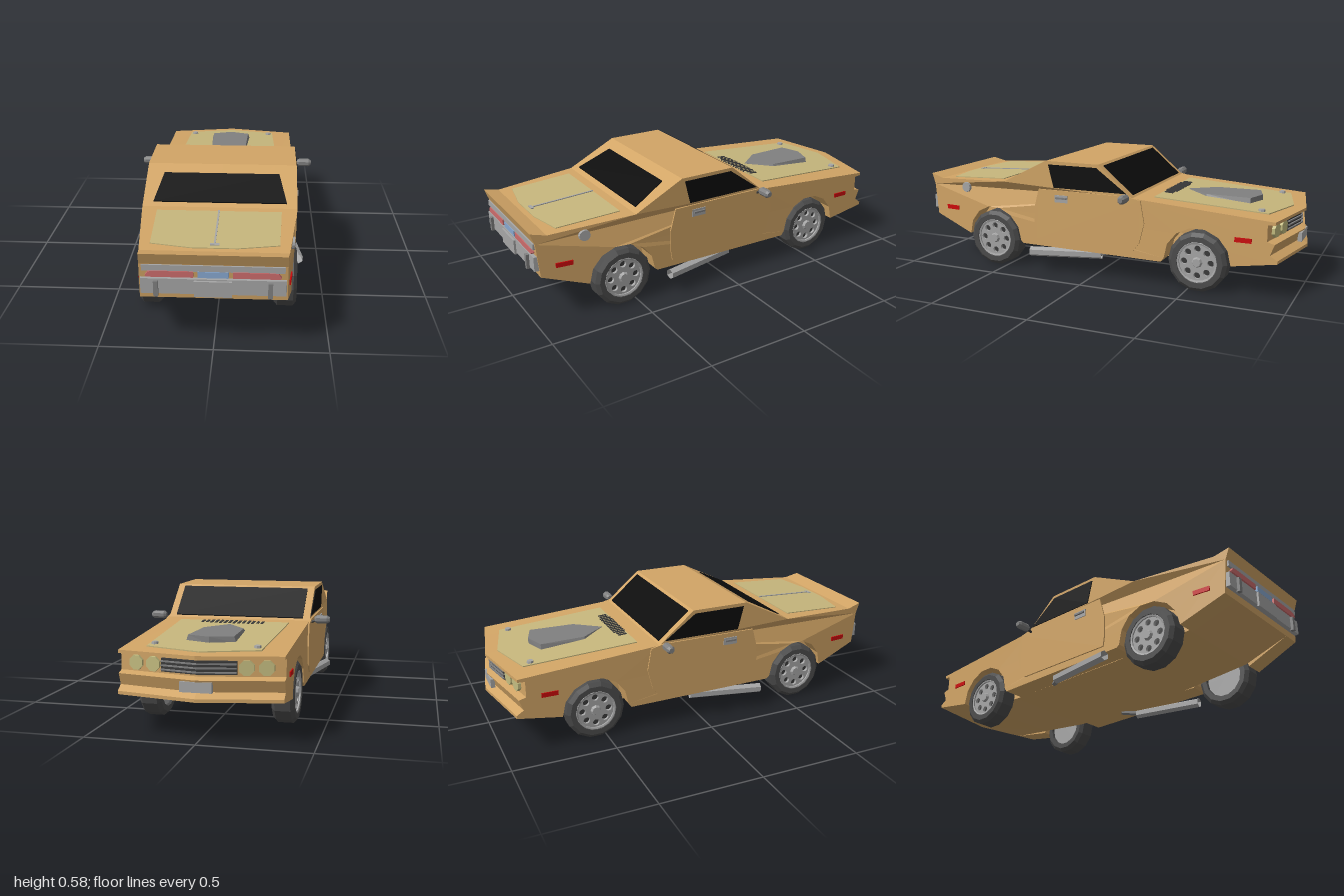
import * as THREE from 'three';

const mat = (color) => new THREE.MeshStandardMaterial({ color, flatShading: true, side: THREE.DoubleSide });
const PAINT = mat(0xd2a566), KHAKI = mat(0xc6b67c), GLASS = mat(0x0c0c0c), GREY = mat(0xa6a6a6);
const STEEL = mat(0x808080), DARK = mat(0x3a3a3a), TYRE = mat(0x4c4c4c), RED = mat(0xcc0a0a);
const TAIL = mat(0xcc6c6c), BLUE = mat(0x88a8d0), LAMP = mat(0xc4bd80);
const W = 0.365; // half width of the body

// Upper outline of the car as [z, y], nose to tail
const TOP = [[-0.985, 0.378], [-0.22, 0.428], [-0.04, 0.58], [0.25, 0.58], [0.5, 0.455], [0.92, 0.435], [0.995, 0.455]];
const topY = (z) => {
  let i = 0;
  while (i < TOP.length - 2 && z > TOP[i + 1][0]) i++;
  const [[z0, y0], [z1, y1]] = [TOP[i], TOP[i + 1]];
  return y0 + (y1 - y0) * (z - z0) / (z1 - z0);
};

function moveVertices(geo, rule) {
  const p = geo.attributes.position, v = new THREE.Vector3();
  for (let i = 0; i < p.count; i++) {
    rule(v.fromBufferAttribute(p, i));
    p.setXYZ(i, v.x, v.y, v.z);
  }
  geo.computeVertexNormals();
  return geo;
}

// Pointed nose and narrowing tail
const warp = (geo) => moveVertices(geo, (v) => {
  if (v.z < -0.9) v.z += 0.07 * Math.abs(v.x) / W;
  if (v.z > 0.5) v.x *= 1 - 0.15 * (v.z - 0.5) / 0.49;
});

export function createModel() {
  const car = new THREE.Group();
  car.name = 'car';
  const add = (name, geo, material, parent = car) => {
    const mesh = new THREE.Mesh(geo, material);
    mesh.name = name;
    parent.add(mesh);
    return mesh;
  };
  const shapeOf = (pts) => new THREE.Shape(pts.map(([x, y]) => new THREE.Vector2(x, y)));
  const box = (w, h, d, x, y, z, seg = 1) => new THREE.BoxGeometry(w, h, d, seg, 1, 1).translate(x, y, z);

  // Side outline [z, y] extruded across the car from x0 to x1
  const slab = (pts, x0, x1, steps = 1) => warp(new THREE.ExtrudeGeometry(shapeOf(pts.map(([z, y]) => [-z, y])),
    { depth: x1 - x0, steps, bevelEnabled: false }).rotateY(Math.PI / 2).translate(x0, 0, 0));
  const bothSides = (name, pts, x0, x1, material) => {
    add(name + 'Left', slab(pts, x0, x1), material);
    add(name + 'Right', slab(pts, -x1, -x0), material);
  };
  // Plan outline [x, z] laid on the upper surface
  const drape = (name, pts, h, material) => add(name, moveVertices(
    new THREE.ExtrudeGeometry(shapeOf(pts.map(([x, z]) => [x, -z])), { depth: h, bevelEnabled: false }).rotateX(-Math.PI / 2),
    (v) => { v.y += topY(v.z); }), material);
  const mirrored = (half) => [...half, ...half.filter(([x]) => x > 0).reverse().map(([x, z]) => [-x, z])];
  const rect = (z0, z1, y0, y1) => [[z0, y0], [z1, y0], [z1, y1], [z0, y1]];

  // Body: solid core plus outer slabs with wheel arches
  const tail = [[0.975, 0.4], [0.96, 0.235]];
  const nose = [[-1, 0.185], [-1, 0.2], [-0.965, 0.222], [-0.985, 0.275], [-0.95, 0.285], [-0.95, 0.362], [-0.985, 0.364]];
  const arch = (c) => Array.from({ length: 8 }, (_, i) => {
    const a = Math.PI * i / 7;
    return [c + 0.165 * Math.cos(a), 0.15 + 0.165 * Math.sin(a)];
  });
  const floor = [[0.72, 0.165], [0.3, 0.135], [-0.4, 0.13], [-0.7, 0.16]];
  add('bodyCore', slab([...TOP, ...tail, ...floor, ...nose], -0.26, 0.26, 2), PAINT);
  bothSides('bodySide', [...TOP, ...tail, ...arch(0.57), [0.39, 0.138], [-0.37, 0.13], ...arch(-0.55), ...nose], 0.26, W, PAINT);

  // Doors, side windows, handles and marker lamps
  bothSides('door', [[0.31, 0.17], [-0.23, 0.17], [-0.26, 0.21], [-0.285, 0.31], [-0.265, 0.42], [-0.2, 0.435],
    [0.29, 0.435], [0.318, 0.33], [0.318, 0.22]], W, 0.372, PAINT);
  bothSides('sideWindow', [[0.235, 0.563], [-0.03, 0.563], [-0.19, 0.447], [0.205, 0.447]], W, 0.369, GLASS);
  bothSides('doorHandlePlate', rect(0.125, 0.198, 0.375, 0.412), 0.37, 0.376, GREY);
  bothSides('doorHandle', rect(0.13, 0.19, 0.393, 0.402), 0.376, 0.384, STEEL);
  bothSides('rearMarker', rect(0.81, 0.89, 0.27, 0.292), W, 0.372, RED);
  bothSides('frontMarker', rect(-0.81, -0.73, 0.27, 0.292), W, 0.37, RED);
  add('fuelCap', warp(new THREE.CylinderGeometry(0.026, 0.028, 0.014, 12).rotateZ(-Math.PI / 2).translate(0.368, 0.402, 0.75)), GREY);

  // Windscreens, bonnet and boot panels
  drape('windscreen', [[-0.33, -0.055], [0.33, -0.055], [0.33, -0.21], [-0.33, -0.21]], 0.005, GLASS);
  drape('rearWindow', [[-0.28, 0.31], [0.28, 0.31], [0.315, 0.475], [-0.315, 0.475]], 0.005, GLASS);
  drape('bonnetPanel', mirrored([[0, -0.925], [0.255, -0.86], [0.275, -0.3]]), 0.005, KHAKI);
  drape('bootPanel', mirrored([[0.29, 0.545], [0.278, 0.862], [0.1, 0.895]]), 0.004, KHAKI);
  drape('bootRidge', [[-0.004, 0.545], [0.004, 0.545], [0.004, 0.87], [-0.004, 0.87]], 0.008, GREY);
  drape('bootLock', [[-0.02, 0.86], [0.02, 0.86], [0.02, 0.875], [-0.02, 0.875]], 0.008, GREY);

  // Bonnet scoop: level top above the sloping bonnet
  const scoop = drape('bonnetScoop', mirrored([[0, -0.77], [0.115, -0.735], [0.105, -0.51], [0, -0.385]]), 0.03, STEEL);
  moveVertices(scoop.geometry, (v) => {
    if (v.y > topY(v.z) + 0.02) { v.y = 0.424; v.x *= 0.92; }
  });
  for (let i = 0; i < 14; i++) {
    const x = -0.15 + 0.3 * i / 13, l = i < 2 || i > 11 ? 0.022 : 0.03;
    drape('bonnetVent', [[x - 0.006, -0.33 - l], [x + 0.006, -0.33 - l], [x + 0.006, -0.33 + l], [x - 0.006, -0.33 + l]], 0.008, DARK);
  }

  // Nose: grille, lamps and plate
  add('grille', warp(box(0.33, 0.058, 0.02, 0, 0.324, -0.953, 2)), DARK);
  for (let i = 0; i < 3; i++) add('grilleBar', warp(box(0.33, 0.006, 0.01, 0, 0.305 + i * 0.018, -0.966, 2)), STEEL);
  add('frontBadgePlate', box(0.14, 0.045, 0.02, 0, 0.245, -0.973), GREY);

  // Tail: trim, lamps, bumper and plate
  add('tailTrim', box(0.6, 0.028, 0.03, 0, 0.385, 0.967), GREY);
  add('tailCentreLamp', box(0.13, 0.028, 0.03, 0, 0.358, 0.97), BLUE);
  const bumper = [[-0.305, 0.93], [-0.3, 0.985], [0.3, 0.985], [0.305, 0.93]];
  add('rearBumper', new THREE.ExtrudeGeometry(shapeOf(bumper.map(([x, z]) => [x * 1.02, -z])),
    { depth: 0.07, bevelEnabled: false }).rotateX(-Math.PI / 2).translate(0, 0.267, 0), GREY);
  add('rearPlate', box(0.16, 0.072, 0.012, 0, 0.295, 0.989), GREY);

  const wheelZ = { rear: 0.57, front: -0.55 };
  for (const s of [1, -1]) {
    const side = s > 0 ? 'Left' : 'Right';
    for (const x of [0.205, 0.287]) {
      add('headlamp' + side, warp(new THREE.CylinderGeometry(0.034, 0.034, 0.02, 8).rotateY(Math.PI / 8)
        .rotateX(Math.PI / 2).translate(s * x, 0.324, -0.955)), LAMP);
    }
    const lens = shapeOf([[0.083, 0.345], [0.28, 0.345], [0.285, 0.352], [0.272, 0.37], [0.25, 0.373], [0.083, 0.373]].map(([x, y]) => [s * x, y]));
    add('tailLamp' + side, new THREE.ExtrudeGeometry(lens, { depth: 0.03, bevelEnabled: false }).translate(0, 0, 0.956), TAIL);
    add('bumperGuard' + side, box(0.02, 0.07, 0.018, s * 0.24, 0.295, 0.99), STEEL);
    add('bonnetPin' + side, new THREE.CylinderGeometry(0.015, 0.017, 0.014, 8).translate(s * 0.23, topY(-0.82) + 0.008, -0.82), GREY);

    // Door mirror on a stalk
    const mirror = new THREE.Group();
    mirror.name = 'mirror' + side;
    car.add(mirror);
    const ends = [[0, 0.388], [0.013, 0.388], [0.021, 0.4], [0.021, 0.45], [0.013, 0.464], [0, 0.464]].map(([r, x]) => new THREE.Vector2(r, x));
    add('mirrorHousing', new THREE.LatheGeometry(ends, 8).rotateY(Math.PI / 8).rotateZ(-s * Math.PI / 2).translate(0, 0.434, -0.2), STEEL, mirror);
    const stalk = new THREE.LineCurve3(new THREE.Vector3(s * 0.36, 0.415, -0.19), new THREE.Vector3(s * 0.4, 0.43, -0.2));
    add('mirrorStalk', new THREE.TubeGeometry(stalk, 1, 0.007, 6), DARK, mirror);

    // Side exhaust: thin feed pipe and flared outer pipe
    const at = (x, y, z) => new THREE.Vector3(s * x, y, z);
    add('exhaustFeed' + side, new THREE.TubeGeometry(new THREE.LineCurve3(at(0.27, 0.132, -0.11), at(0.34, 0.115, 0)), 1, 0.014, 6), STEEL);
    add('exhaustPipe' + side, new THREE.TubeGeometry(new THREE.LineCurve3(at(0.325, 0.118, -0.04), at(0.388, 0.108, 0.335)), 1, 0.025, 6), GREY);

    for (const [end, z] of Object.entries(wheelZ)) {
      const wheel = makeWheel(add);
      wheel.name = end + 'Wheel' + side;
      wheel.position.set(s * 0.313, 0.146, z);
      if (s < 0) wheel.rotation.y = Math.PI;
      car.add(wheel);
    }
  }
  return car;
}

// Wheel with its outer face towards +x
function makeWheel(add) {
  const wheel = new THREE.Group();
  const ring = [[0.098, -0.04], [0.102, -0.052], [0.128, -0.052], [0.146, -0.036], [0.146, 0.036], [0.128, 0.052], [0.102, 0.052], [0.096, 0.03]];
  add('tyre', new THREE.LatheGeometry(ring.map(([r, y]) => new THREE.Vector2(r, y)), 14).rotateZ(-Math.PI / 2), TYRE, wheel);
  const disc = new THREE.Shape().absarc(0, 0, 0.1, 0, Math.PI * 2);
  for (let i = 0; i < 8; i++) {
    const a = i * Math.PI / 4;
    disc.holes.push(new THREE.Path().absarc(0.066 * Math.cos(a), 0.066 * Math.sin(a), 0.016, 0, Math.PI * 2, true));
  }
  add('rim', new THREE.ExtrudeGeometry(disc, { depth: 0.014, bevelEnabled: false, curveSegments: 8 })
    .rotateY(Math.PI / 2).translate(0.027, 0, 0), GREY, wheel);
  add('rimLip', new THREE.TorusGeometry(0.096, 0.007, 5, 20).rotateY(Math.PI / 2).translate(0.044, 0, 0), GREY, wheel);
  add('brakeDisc', new THREE.CylinderGeometry(0.097, 0.097, 0.01, 14).rotateZ(Math.PI / 2).translate(0.015, 0, 0), DARK, wheel);
  add('innerDisc', new THREE.CylinderGeometry(0.1, 0.1, 0.01, 14).rotateZ(Math.PI / 2).translate(-0.035, 0, 0), GREY, wheel);
  add('hub', new THREE.CylinderGeometry(0.02, 0.028, 0.016, 8).rotateZ(-Math.PI / 2).translate(0.046, 0, 0), GREY, wheel);
  return wheel;
}
